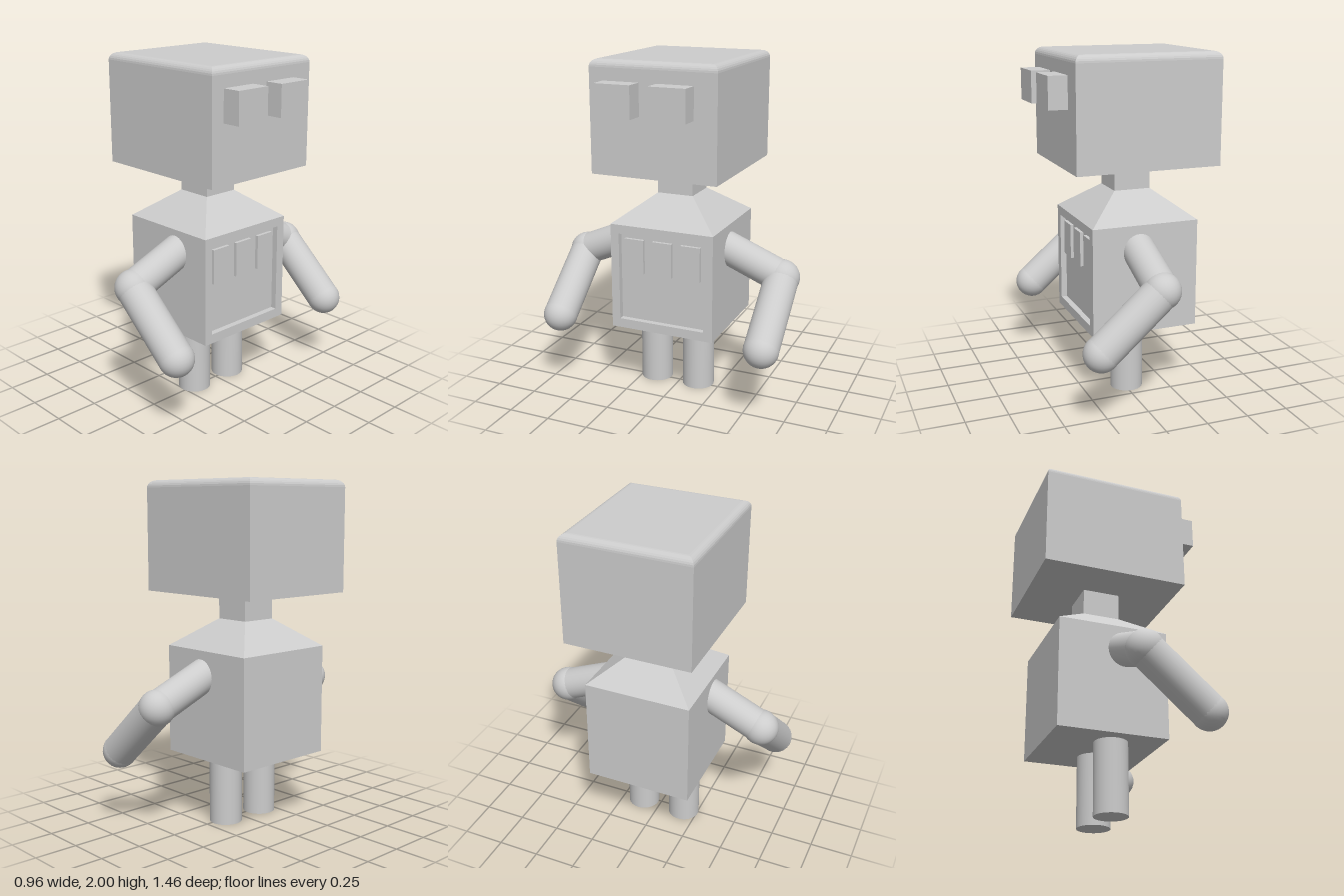
import * as THREE from 'three';

const bodyGrey = new THREE.MeshStandardMaterial({ color: 0xcccccc });
bodyGrey.name = 'bodyGrey';

function add(parent, name, geometry) {
  const mesh = new THREE.Mesh(geometry, bodyGrey);
  mesh.name = name;
  parent.add(mesh);
  return mesh;
}

// Box from its limits on each axis
function box(parent, name, [x0, x1], [y0, y1], [z0, z1]) {
  const mesh = add(parent, name, new THREE.BoxGeometry(x1 - x0, y1 - y0, z1 - z0));
  mesh.position.set((x0 + x1) / 2, (y0 + y1) / 2, (z0 + z1) / 2);
  return mesh;
}

// Stack of rectangles [x0, x1, z0, z1, y], bottom to top, with closed ends
function rectLoft(levels) {
  const pos = [];
  const corners = ([x0, x1, z0, z1, y]) => [[x0, y, z1], [x1, y, z1], [x1, y, z0], [x0, y, z0]];
  const quad = (a, b, c, d) => pos.push(...a, ...b, ...c, ...a, ...c, ...d);
  const rings = levels.map(corners);
  for (let i = 0; i + 1 < rings.length; i++) {
    for (let k = 0; k < 4; k++) {
      const n = (k + 1) % 4;
      quad(rings[i][k], rings[i][n], rings[i + 1][n], rings[i + 1][k]);
    }
  }
  quad(...rings[rings.length - 1]);
  quad(...[...rings[0]].reverse());
  const geometry = new THREE.BufferGeometry();
  geometry.setAttribute('position', new THREE.Float32BufferAttribute(pos, 3));
  geometry.computeVertexNormals();
  return geometry;
}

// Cylinder between two points
function limb(parent, name, a, b, radius) {
  const dir = b.clone().sub(a);
  const mesh = add(parent, name, new THREE.CylinderGeometry(radius, radius, dir.length(), 32));
  mesh.position.copy(a).add(b).multiplyScalar(0.5);
  mesh.quaternion.setFromUnitVectors(new THREE.Vector3(0, 1, 0), dir.normalize());
}

function ball(parent, name, centre, radius) {
  add(parent, name, new THREE.SphereGeometry(radius, 32, 16)).position.copy(centre);
}

function arm(parent, name, shoulder, elbow, hand) {
  const group = new THREE.Group();
  group.name = name;
  const [s, e, h] = [shoulder, elbow, hand].map(p => new THREE.Vector3(...p));
  limb(group, 'upperArm', s, e, 0.096);
  ball(group, 'elbow', e, 0.104);
  limb(group, 'forearm', e, h, 0.1);
  ball(group, 'hand', h, 0.101);
  parent.add(group);
}

// Rectangle with z mirrored, for shapes turned to face +x
function rect(PathType, y0, y1, z0, z1) {
  const path = new PathType();
  path.moveTo(-z1, y0).lineTo(-z0, y0).lineTo(-z0, y1).lineTo(-z1, y1).closePath();
  return path;
}

export function createModel() {
  const model = new THREE.Group();
  model.name = 'robot';

  // Head: straight walls with a rounded rim around the top
  const levels = [[-0.48, 0.37, -0.37, 0.378, 1.365]];
  const r = 0.042;
  for (let i = 0; i <= 6; i++) {
    const t = (i / 6) * Math.PI / 2;
    const d = r * (1 - Math.cos(t));
    levels.push([-0.48 + d, 0.37 - d, -0.37 + d, 0.378 - d, 2 - r + r * Math.sin(t)]);
  }
  add(model, 'head', rectLoft(levels));
  for (const [name, z] of [['leftEye', -0.13], ['rightEye', 0.187]]) {
    box(model, name, [0.36, 0.48], [1.705, 1.887], [z - 0.107, z + 0.107]);
  }
  box(model, 'neck', [-0.165, 0.053], [1.19, 1.37], [-0.1, 0.118]);

  // Torso: sloped shoulders, block, and a raised frame around the chest recess
  add(model, 'shoulders', rectLoft([
    [-0.375, 0.262, -0.31, 0.326, 1.048],
    [-0.165, 0.053, -0.1, 0.118, 1.207],
  ]));
  box(model, 'torso', [-0.375, 0.227], [0.412, 1.048], [-0.31, 0.326]);
  const frameShape = rect(THREE.Shape, 0.412, 1.048, -0.31, 0.326);
  frameShape.holes.push(rect(THREE.Path, 0.467, 0.995, -0.255, 0.275));
  const frame = new THREE.ExtrudeGeometry(frameShape, { depth: 0.035, bevelEnabled: false });
  frame.rotateY(Math.PI / 2);
  add(model, 'chestFrame', frame).position.x = 0.227;

  // Three raised plates in the recess
  for (let i = 0; i < 3; i++) {
    const z = 0.186 - i * 0.176;
    box(model, 'chestPlate' + (i + 1), [0.22, 0.247], [0.76, 0.965], [z - 0.06, z + 0.06]);
  }

  // Arms, each bent at the elbow with the hand reaching forward
  arm(model, 'rightArm', [0.01, 0.94, 0.25], [0, 0.778, 0.628], [0.355, 0.472, 0.628]);
  arm(model, 'leftArm', [-0.018, 0.925, -0.235], [-0.02, 0.765, -0.627], [0.33, 0.456, -0.627]);

  // Legs
  for (const [name, z] of [['leftLeg', -0.115], ['rightLeg', 0.162]]) {
    limb(model, name, new THREE.Vector3(-0.016, 0, z), new THREE.Vector3(-0.016, 0.45, z), 0.096);
  }
  return model;
}
